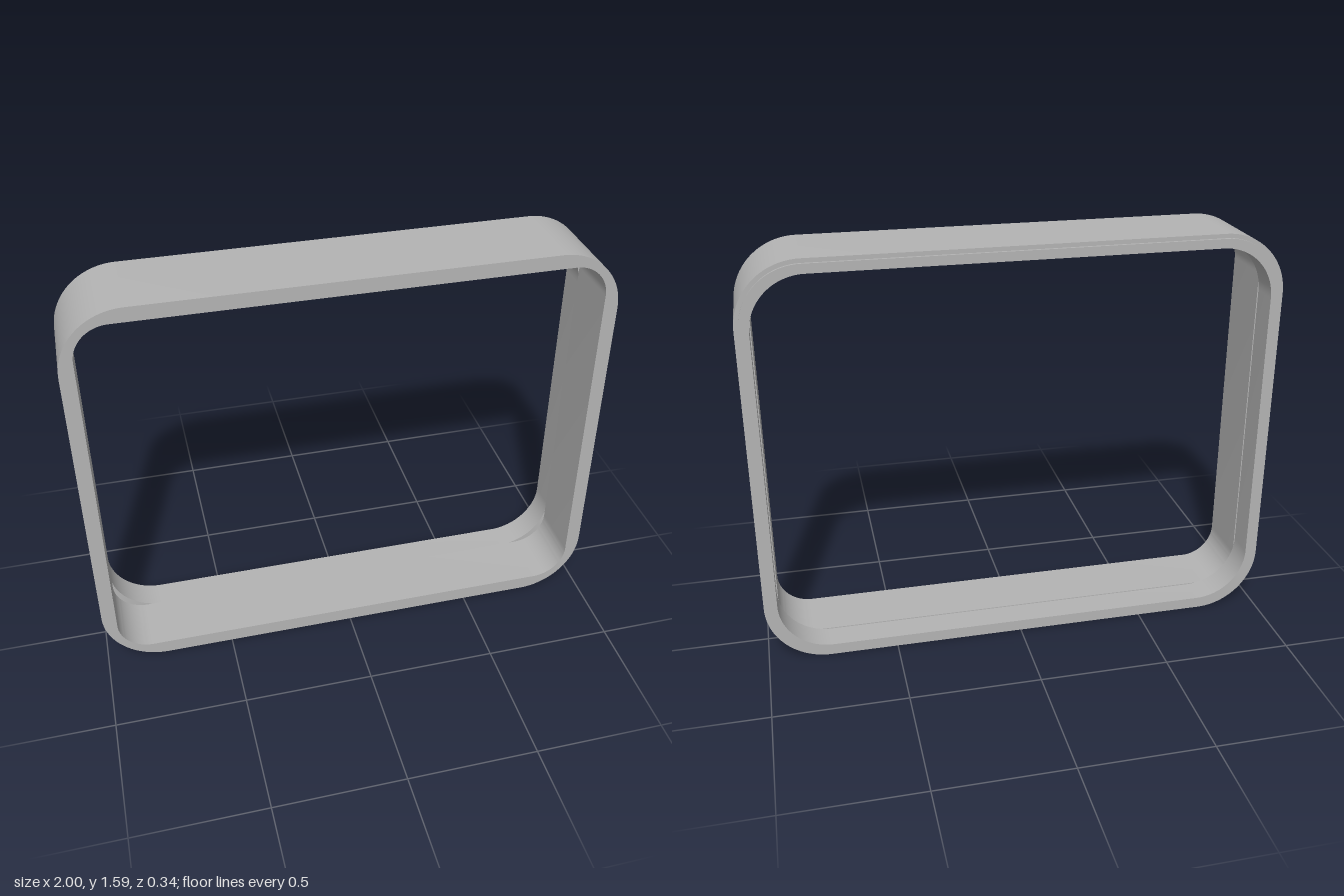
import * as THREE from 'three';
import { toCreasedNormals } from 'three/addons/utils/BufferGeometryUtils.js';

const WIDTH = 2, HEIGHT = 1.585, CORNER_STEPS = 24;

// Rounded rectangle, inset from the outer size, running counterclockwise at depth z
function roundedLoop(inset, radius, z) {
  const cx = WIDTH / 2 - inset - radius, cy = HEIGHT / 2 - inset - radius;
  const points = [];
  [[1, 1], [-1, 1], [-1, -1], [1, -1]].forEach(([sx, sy], corner) => {
    for (let i = 0; i <= CORNER_STEPS; i++) {
      const a = (corner + i / CORNER_STEPS) * Math.PI / 2;
      points.push([sx * cx + radius * Math.cos(a), HEIGHT / 2 + sy * cy + radius * Math.sin(a), z]);
    }
  });
  return points;
}

// Joins the loops into a closed band
function bandGeometry(loops) {
  const count = loops[0].length, index = [];
  loops.forEach((_, r) => {
    const a = r * count, b = ((r + 1) % loops.length) * count;
    for (let i = 0; i < count; i++) {
      const j = (i + 1) % count;
      index.push(a + i, b + i, b + j, a + i, b + j, a + j);
    }
  });
  const geometry = new THREE.BufferGeometry();
  geometry.setAttribute('position', new THREE.Float32BufferAttribute(loops.flat(2), 3));
  geometry.setIndex(index);
  return toCreasedNormals(geometry, 0.5);
}

export function createModel() {
  const group = new THREE.Group();
  group.name = 'roundedFrame';
  const grey = new THREE.MeshStandardMaterial({ color: 0xb4b4b4 });
  grey.name = 'grey';

  const frame = new THREE.Mesh(bandGeometry([
    roundedLoop(0.055, 0.13, 0.17),   // front inner edge
    roundedLoop(0, 0.24, 0.17),       // front outer edge
    roundedLoop(0, 0.24, -0.16),      // back outer edge
    roundedLoop(0.016, 0.224, -0.16), // foot of the raised back lip
    roundedLoop(0.016, 0.224, -0.17), // top of the lip
    roundedLoop(0.051, 0.2, -0.17),   // back inner edge
    roundedLoop(0.051, 0.2, -0.06),   // step inside the opening
    roundedLoop(0.055, 0.13, -0.06),
  ]), grey);
  frame.name = 'frameBand';
  group.add(frame);
  return group;
}
